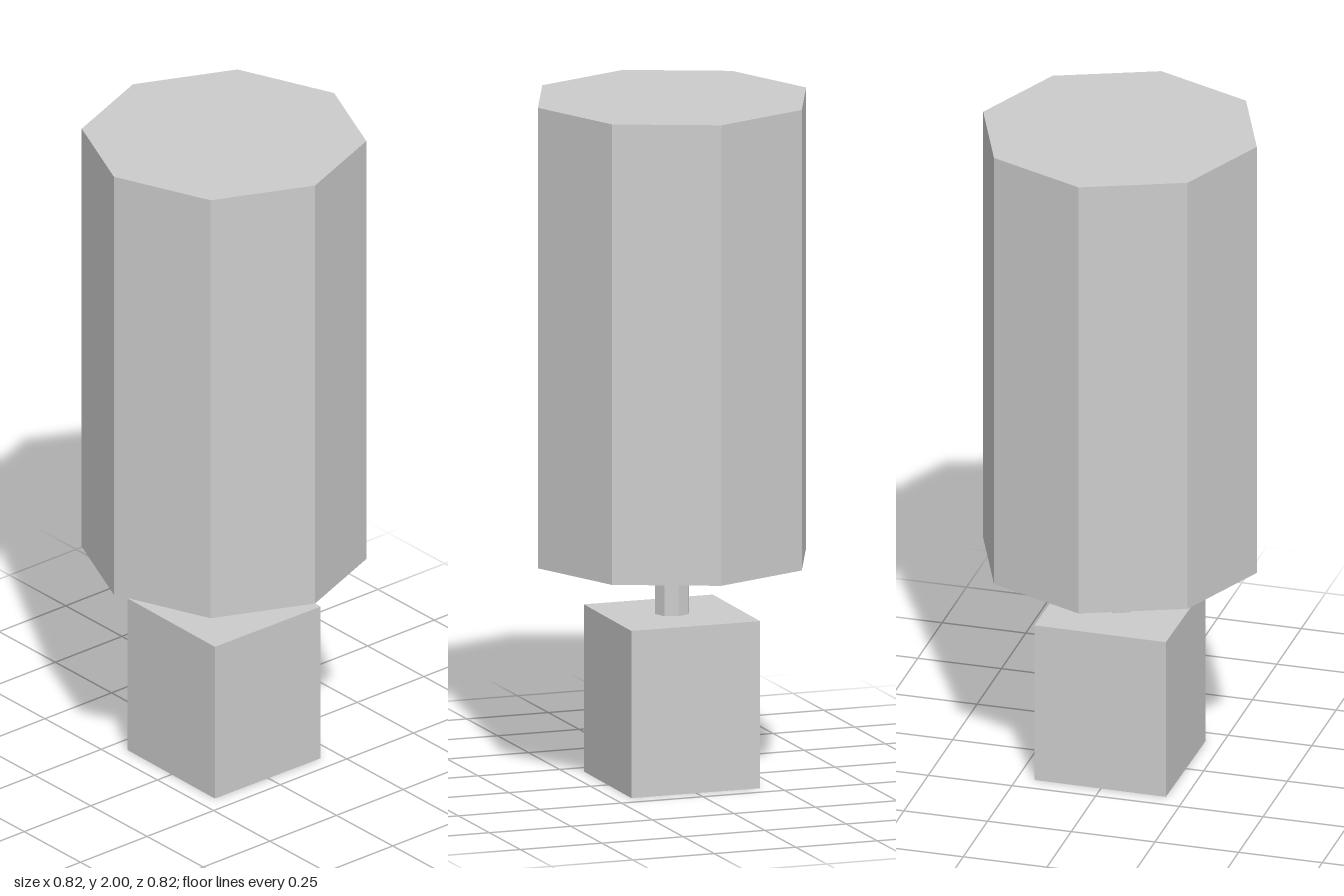
import * as THREE from 'three';

export function createModel() {
  const group = new THREE.Group();
  const material = new THREE.MeshStandardMaterial({ color: 0xcccccc, flatShading: true });

  // Adds a part whose underside sits at the given height
  const add = (name, geometry, bottom, height) => {
    const mesh = new THREE.Mesh(geometry, material);
    mesh.name = name;
    mesh.position.y = bottom + height / 2;
    group.add(mesh);
  };

  // Square base block
  add('base', new THREE.BoxGeometry(0.394, 0.49, 0.394), 0, 0.49);
  // Thin eight-sided neck
  add('neck', new THREE.CylinderGeometry(0.052, 0.052, 0.16, 8), 0.49, 0.16);
  // Large octagonal head
  add('head', new THREE.CylinderGeometry(0.41, 0.41, 1.35, 8), 0.65, 1.35);

  // Slight twist shared by all parts
  group.rotation.y = -0.01;
  return group;
}
